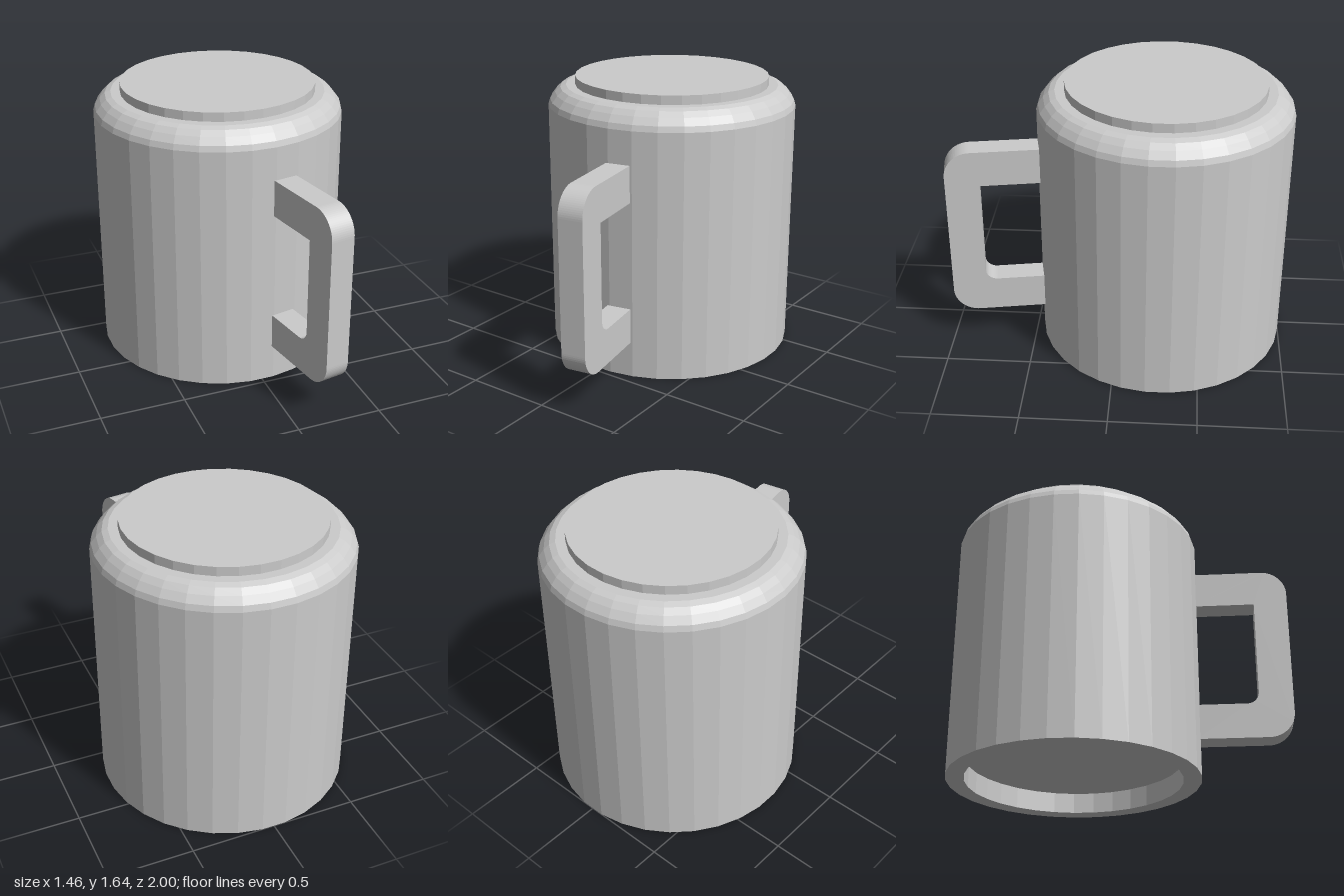
import * as THREE from 'three';

const SIDES = 32;
const AXIS_Z = -0.268; // centre line of the cup
const grey = (options = {}) => new THREE.MeshStandardMaterial({ color: 0xcccccc, ...options });

function lathe(name, points, material) {
  const profile = points.map(([r, y]) => new THREE.Vector2(r, y));
  const mesh = new THREE.Mesh(new THREE.LatheGeometry(profile, SIDES, Math.PI / SIDES), material);
  mesh.name = name;
  return mesh;
}

function createHandle() {
  // Bracket outline: x is the distance from the cup's axis
  const inner = 0.71, outer = 1.275, low = 0.215, high = 1.28, round = 0.15;
  const s = new THREE.Shape();
  s.moveTo(inner, low);
  s.lineTo(outer - round, low);
  s.absarc(outer - round, low + round, round, -Math.PI / 2, 0);
  s.lineTo(outer, high - round);
  s.absarc(outer - round, high - round, round, 0, Math.PI / 2);
  s.lineTo(inner, high);
  s.lineTo(inner, 1.065);
  s.lineTo(1.077, 1.065);
  s.lineTo(1.077, 0.495);
  s.absarc(1.007, 0.495, 0.07, 0, -Math.PI / 2, true); // only the lower inside corner is rounded
  s.lineTo(inner, 0.425);
  s.closePath();

  const width = 0.144;
  const geometry = new THREE.ExtrudeGeometry(s, { depth: width, bevelEnabled: false, curveSegments: 10 });
  geometry.translate(0, 0, -width / 2);
  geometry.rotateY(THREE.MathUtils.degToRad(-80));
  const mesh = new THREE.Mesh(geometry, grey({ flatShading: true }));
  mesh.name = 'handle';
  mesh.position.x = 0.004;
  return mesh;
}

export function createModel() {
  const group = new THREE.Group();
  group.name = 'upturnedMug';

  // Open rim on the ground, straight wall, bevelled shoulder
  const body = [
    [0.63, 0.13], [0.63, 0], [0.735, 0], [0.735, 1.475], [0.725, 1.508],
    [0.695, 1.548], [0.664, 1.577], [0.63, 1.59], [0.56, 1.59]
  ];

  // Raised foot disc on top
  const foot = [[0.575, 1.58], [0.575, 1.643], [0, 1.643]];

  // Surface closing the mouth, with a softened edge
  const filling = [[0, 0.1], [0.45, 0.102], [0.55, 0.107], [0.605, 0.115], [0.63, 0.125]];

  group.add(
    lathe('body', body, grey({ flatShading: true })),
    lathe('foot', foot, grey({ flatShading: true })),
    lathe('filling', filling, grey()),
    createHandle()
  );
  group.children.forEach((part) => { part.position.z = AXIS_Z; });
  return group;
}
